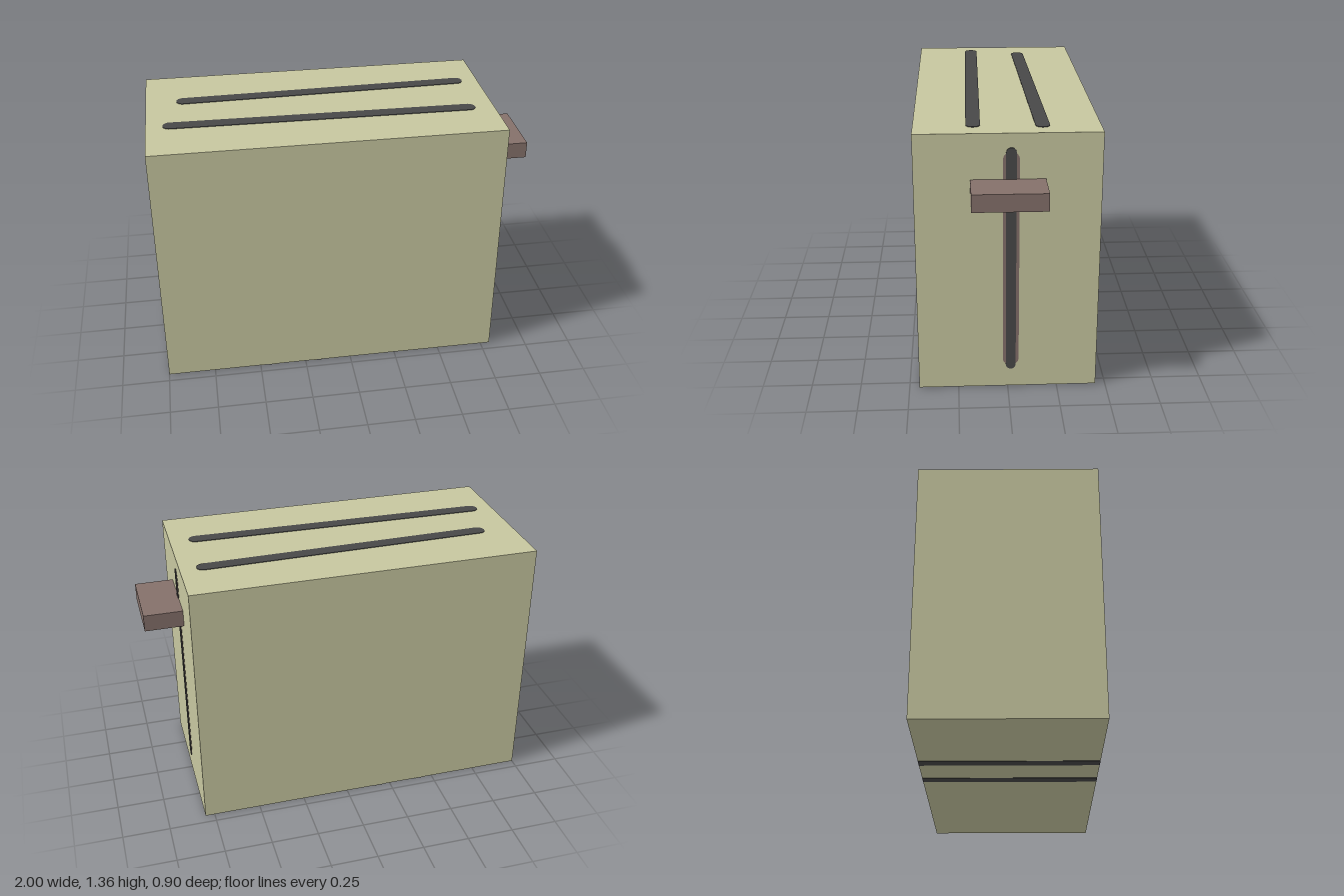
import * as THREE from 'three';

const bodyMat = new THREE.MeshStandardMaterial({ name: 'paleOlive', color: 0xc6c69f });
const slotMat = new THREE.MeshStandardMaterial({ name: 'charcoal', color: 0x484848 });
const leverMat = new THREE.MeshStandardMaterial({ name: 'mutedBrown', color: 0x84706a });

function box(name, mat, [x0, x1], [y0, y1], [z0, z1]) {
  const mesh = new THREE.Mesh(new THREE.BoxGeometry(x1 - x0, y1 - y0, z1 - z0), mat);
  mesh.position.set((x0 + x1) / 2, (y0 + y1) / 2, (z0 + z1) / 2);
  mesh.name = name;
  return mesh;
}

// Thin round-ended plate lying in XY, centred on the origin, long in X
function roundedPlate(name, mat, length, width, depth) {
  const r = width / 2, h = length / 2 - r;
  const shape = new THREE.Shape();
  shape.absarc(h, 0, r, -Math.PI / 2, Math.PI / 2, false);
  shape.absarc(-h, 0, r, Math.PI / 2, Math.PI * 1.5, false);
  shape.closePath();
  const geo = new THREE.ExtrudeGeometry(shape, { depth, bevelEnabled: false, curveSegments: 10 });
  const mesh = new THREE.Mesh(geo, mat);
  mesh.name = name;
  return mesh;
}

// Bread slot on the top, between two end centres given as [x, z]
function breadSlot(name, [ax, az], [bx, bz]) {
  const width = 0.07;
  const length = Math.hypot(bx - ax, bz - az) + width;
  const plate = roundedPlate(name, slotMat, length, width, 0.003);
  plate.geometry.rotateX(-Math.PI / 2);
  plate.rotation.y = -Math.atan2(bz - az, bx - ax);
  plate.position.set((ax + bx) / 2, 1.35, (az + bz) / 2);
  return plate;
}

// Upright groove on the lever side
function leverGroove(name, mat, y0, y1, width, depth) {
  const plate = roundedPlate(name, mat, y1 - y0, width, depth);
  plate.geometry.rotateZ(Math.PI / 2).rotateY(Math.PI / 2);
  plate.position.set(0.8, (y0 + y1) / 2, -0.015);
  return plate;
}

export function createModel() {
  const toaster = new THREE.Group();
  toaster.name = 'toaster';
  toaster.add(
    box('body', bodyMat, [-1, 0.8], [0, 1.35], [-0.45, 0.45]),
    box('lever', leverMat, [0.8, 1], [1.035, 1.123], [-0.18, 0.18]),
    breadSlot('backBreadSlot', [-0.805, -0.137], [0.68, -0.17]),
    breadSlot('frontBreadSlot', [-0.88, 0.143], [0.665, 0.163]),
    leverGroove('grooveBorder', leverMat, 0.12, 1.26, 0.08, 0.0015),
    leverGroove('leverGroove', slotMat, 0.1, 1.28, 0.05, 0.004)
  );
  // Crosswise strips under the base
  for (const x of [-0.18, -0.43]) {
    toaster.add(box('baseStrip', slotMat, [x - 0.03, x + 0.03], [-0.002, 0.002], [-0.45, 0.45]));
  }
  return toaster;
}
